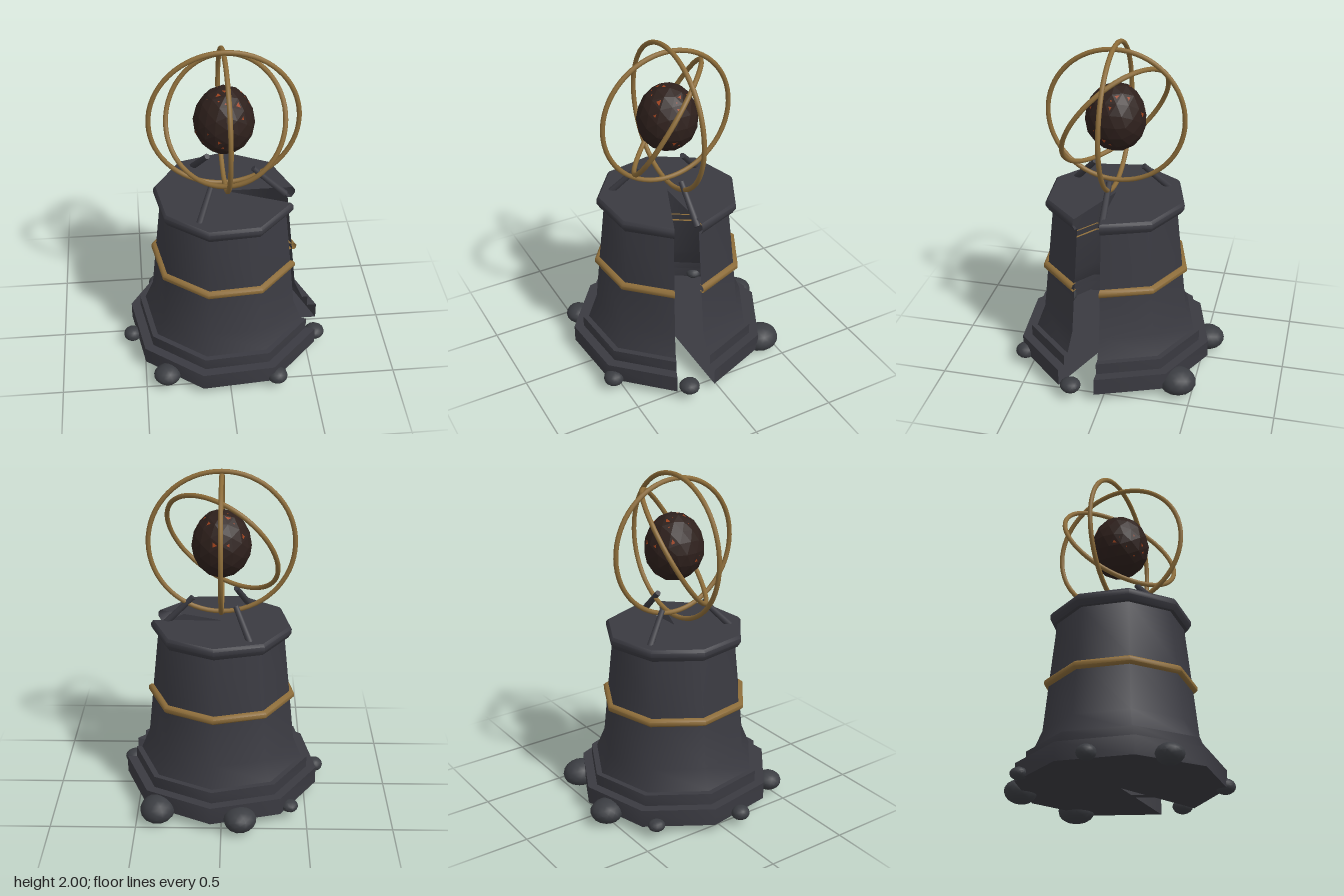
import * as THREE from 'three';
import { toCreasedNormals } from 'three/addons/utils/BufferGeometryUtils.js';

const CX = 0.005, CZ = 0.04, ORB_Y = 1.566;

const mat = (name, color, side = THREE.FrontSide) => {
  const m = new THREE.MeshStandardMaterial({ color, side });
  m.name = name;
  return m;
};

// Small seeded random generator
function seeded(seed) {
  return () => {
    seed = (seed * 16807) % 2147483647;
    return seed / 2147483647;
  };
}

// Eight-sided turned shell with a wedge missing on the +x side
function openLathe(profile) {
  const pts = profile.map(([r, y]) => new THREE.Vector2(r, y));
  const geo = new THREE.LatheGeometry(pts, 8, Math.PI / 2, Math.PI * 1.875);
  return toCreasedNormals(geo, 0.8);
}

// Uneven rounded lump
function lump(radius, detail, amount, phase) {
  const geo = new THREE.IcosahedronGeometry(radius, detail);
  const p = geo.attributes.position, v = new THREE.Vector3();
  for (let i = 0; i < p.count; i++) {
    v.fromBufferAttribute(p, i);
    const u = v.clone().divideScalar(radius);
    const w = Math.sin(u.x * 3.1 + phase) + Math.sin(u.y * 3.7 + phase * 2) + Math.sin(u.z * 3.3 + phase * 3);
    v.multiplyScalar(1 + amount * w / 3);
    p.setXYZ(i, v.x, v.y, v.z);
  }
  return geo;
}

export function createModel() {
  const model = new THREE.Group();
  const stone = mat('dark stone', 0x3a3a41, THREE.DoubleSide);
  const rock = mat('rock', 0x3b3d42);
  const brass = mat('aged brass', 0x8c6c39, THREE.DoubleSide);
  const crust = mat('burnt crust', 0x2e201c);
  const ember = mat('ember', 0xa0421c);

  const core = new THREE.Group();
  core.name = 'shrine';
  core.position.set(CX, 0, CZ);
  model.add(core);

  const add = (name, geo, material, parent = core) => {
    const mesh = new THREE.Mesh(geo, material);
    mesh.name = name;
    parent.add(mesh);
    return mesh;
  };

  // Hollow pedestal: plinth, step, flared body and bevelled rim
  add('pedestal', openLathe([
    [0.001, 0.055], [0.587, 0.055], [0.587, 0.16], [0.529, 0.16], [0.529, 0.23],
    [0.494, 0.23], [0.443, 0.355], [0.41, 0.68], [0.375, 1.015],
    [0.397, 1.015], [0.416, 1.045], [0.416, 1.07], [0.402, 1.086], [0.001, 1.086],
  ]), stone);

  // Brass band around the body
  add('pedestalBand', openLathe([
    [0.40, 0.621], [0.428, 0.621], [0.441, 0.633], [0.441, 0.654], [0.428, 0.666], [0.40, 0.666],
  ]), brass);

  // Three slanted prongs around the top
  for (let i = 0; i < 3; i++) {
    const arm = new THREE.Group();
    arm.name = 'prong' + (i + 1);
    arm.rotation.y = i * Math.PI * 2 / 3;
    core.add(arm);
    const rod = add('prongRod', new THREE.CylinderGeometry(0.017, 0.021, 0.27, 8), stone, arm);
    rod.position.set(0.263, 1.138, 0);
    rod.rotation.z = Math.PI / 4;
  }

  // Nested brass rings, each given by its radius and axis
  const rings = [
    ['outerRing', 0.42, [0, 0, 1]],
    ['middleRing', 0.396, [1, 0, 0]],
    ['innerRing', 0.368, [-0.5, 0.5, 0.707]],
  ];
  for (const [name, radius, axis] of rings) {
    const ring = add(name, new THREE.TorusGeometry(radius, 0.014, 10, 64), brass);
    ring.position.y = ORB_Y;
    ring.quaternion.setFromUnitVectors(new THREE.Vector3(0, 0, 1), new THREE.Vector3(...axis).normalize());
  }

  // Floating burnt orb
  const orb = new THREE.Group();
  orb.name = 'orb';
  orb.position.y = ORB_Y;
  core.add(orb);
  const orbGeo = lump(0.182, 2, 0.05, 1.3);
  orbGeo.scale(0.97, 1.1, 0.93);
  orbGeo.computeVertexNormals();
  add('orbCrust', orbGeo, crust, orb);

  // Ember flecks: small slivers laid just above some of the orb's faces
  const rand = seeded(77), p = orbGeo.attributes.position, flecks = [];
  const tri = new THREE.Triangle(), n = new THREE.Vector3(), c = new THREE.Vector3();
  for (let f = 0; f < p.count; f += 3) {
    if (rand() > 0.16) continue;
    tri.setFromAttributeAndIndices(p, f, f + 1, f + 2);
    tri.getNormal(n);
    tri.getMidpoint(c);
    const size = 0.12 + 0.3 * rand();
    for (const corner of [tri.a, tri.b, tri.c]) {
      const q = c.clone().lerp(corner, size * (0.5 + rand())).addScaledVector(n, 0.002);
      flecks.push(q.x, q.y, q.z);
    }
  }
  const fleckGeo = new THREE.BufferGeometry();
  fleckGeo.setAttribute('position', new THREE.Float32BufferAttribute(flecks, 3));
  fleckGeo.computeVertexNormals();
  add('orbEmbers', fleckGeo, ember, orb);

  // Boulders around the foot: x, z, radius
  const boulders = [
    [-0.11, -0.525, 0.096], [0.375, -0.415, 0.106], [0.56, 0.19, 0.06], [0.28, 0.55, 0.06],
    [-0.375, 0.482, 0.079], [-0.572, 0.107, 0.055], [-0.403, -0.373, 0.049],
  ];
  boulders.forEach(([x, z, r], i) => {
    const geo = lump(r, 2, 0.05, i * 1.7);
    geo.scale(1, 0.74, 1);
    geo.computeVertexNormals();
    const b = add('boulder' + (i + 1), toCreasedNormals(geo, 0.6), rock, model);
    b.position.set(x, 0.076, z);
  });

  return model;
}
